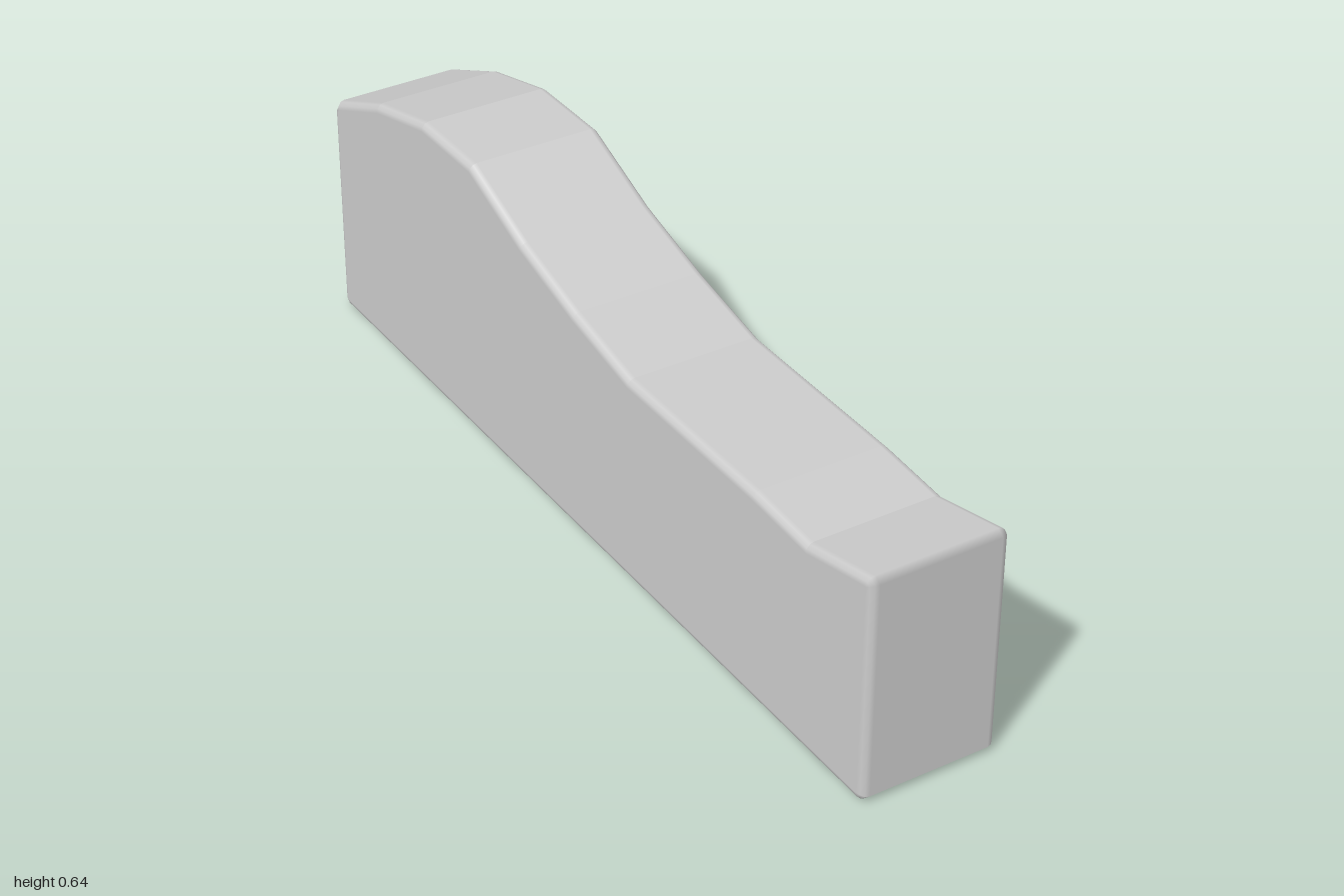
import * as THREE from 'three';

const HALF_WIDTH = 0.149;
const BEVEL = 0.018;
const STEPS = 3;

// Replaces a sharp corner by two points a short way along its sides.
function cutCorner(prev, p, next, size) {
  return [prev, next].map(q => q.clone().sub(p).setLength(size).add(p));
}

// Side outline in (z, y), counter-clockwise, with cut end corners.
function makeOutline() {
  const top = [[1, 0.502], [0.8, 0.455], [0.63, 0.465], [0.2, 0.465], [0, 0.505],
    [-0.2, 0.56], [-0.4, 0.64], [-0.6, 0.64], [-0.8, 0.59], [-1, 0.505]];
  const raw = [[-1, 0], [1, 0], ...top].map(([z, y]) => new THREE.Vector2(z, y));
  const points = [], cutEdges = new Set();
  raw.forEach((p, i) => {
    if (Math.abs(p.x) < 1) return points.push(p);
    cutEdges.add(points.length);
    points.push(...cutCorner(raw.at(i - 1), p, raw[(i + 1) % raw.length], 0.015));
  });
  return { points, cutEdges };
}

function makeBlockGeometry() {
  const { points, cutEdges } = makeOutline();
  const n = points.length;
  const normals = points.map((p, i) => {
    const d = points[(i + 1) % n].clone().sub(p).normalize();
    return new THREE.Vector2(d.y, -d.x);
  });
  // Inward mitre direction at every outline point
  const inset = points.map((p, i) => {
    const a = normals.at(i - 1), b = normals[i];
    return a.clone().add(b).multiplyScalar(-1 / (1 + a.dot(b)));
  });

  // Rows across the width: rounded edge, flat middle, rounded edge
  const rows = [];
  for (const side of [-1, 1]) {
    for (let k = 0; k <= STEPS; k++) {
      const angle = (side < 0 ? k : STEPS - k) / STEPS * Math.PI / 2;
      const c = Math.cos(angle), s = Math.sin(angle);
      rows.push({ x: side * (HALF_WIDTH - BEVEL + BEVEL * c), in: BEVEL * (1 - s), nx: side * c, ns: s });
    }
  }

  const position = [], normal = [], index = [];
  const addVertex = (i, row, nrm) => {
    const p = points[i].clone().addScaledVector(inset[i], row.in);
    position.push(row.x, p.y, p.x);
    normal.push(row.nx, nrm.y * row.ns, nrm.x * row.ns);
  };

  // One strip per outline edge; cut corners blend into their neighbours
  for (let i = 0; i < n; i++) {
    const j = (i + 1) % n, base = position.length / 3;
    const cut = cutEdges.has(i);
    for (const row of rows) {
      addVertex(i, row, cut ? normals.at(i - 1) : normals[i]);
      addVertex(j, row, cut ? normals[j] : normals[i]);
    }
    for (let r = 0; r < rows.length - 1; r++) {
      const a = base + r * 2;
      index.push(a, a + 2, a + 3, a, a + 3, a + 1);
    }
  }

  // Flat sides
  for (const row of [rows[0], rows.at(-1)]) {
    const base = position.length / 3;
    points.forEach((p, i) => addVertex(i, row, normals[i]));
    const contour = points.map((p, i) => p.clone().addScaledVector(inset[i], row.in));
    for (const [a, b, c] of THREE.ShapeUtils.triangulateShape(contour, [])) {
      index.push(base + a, ...(row.x < 0 ? [base + b, base + c] : [base + c, base + b]));
    }
  }

  const geometry = new THREE.BufferGeometry();
  geometry.setAttribute('position', new THREE.Float32BufferAttribute(position, 3));
  geometry.setAttribute('normal', new THREE.Float32BufferAttribute(normal, 3));
  geometry.setIndex(index);
  return geometry;
}

export function createModel() {
  const group = new THREE.Group();
  group.name = 'contouredBlock';
  const block = new THREE.Mesh(makeBlockGeometry(), new THREE.MeshStandardMaterial({ color: 0xcccccc }));
  block.name = 'block';
  // The block sits very slightly turned
  block.rotation.y = -0.009;
  group.add(block);
  return group;
}
